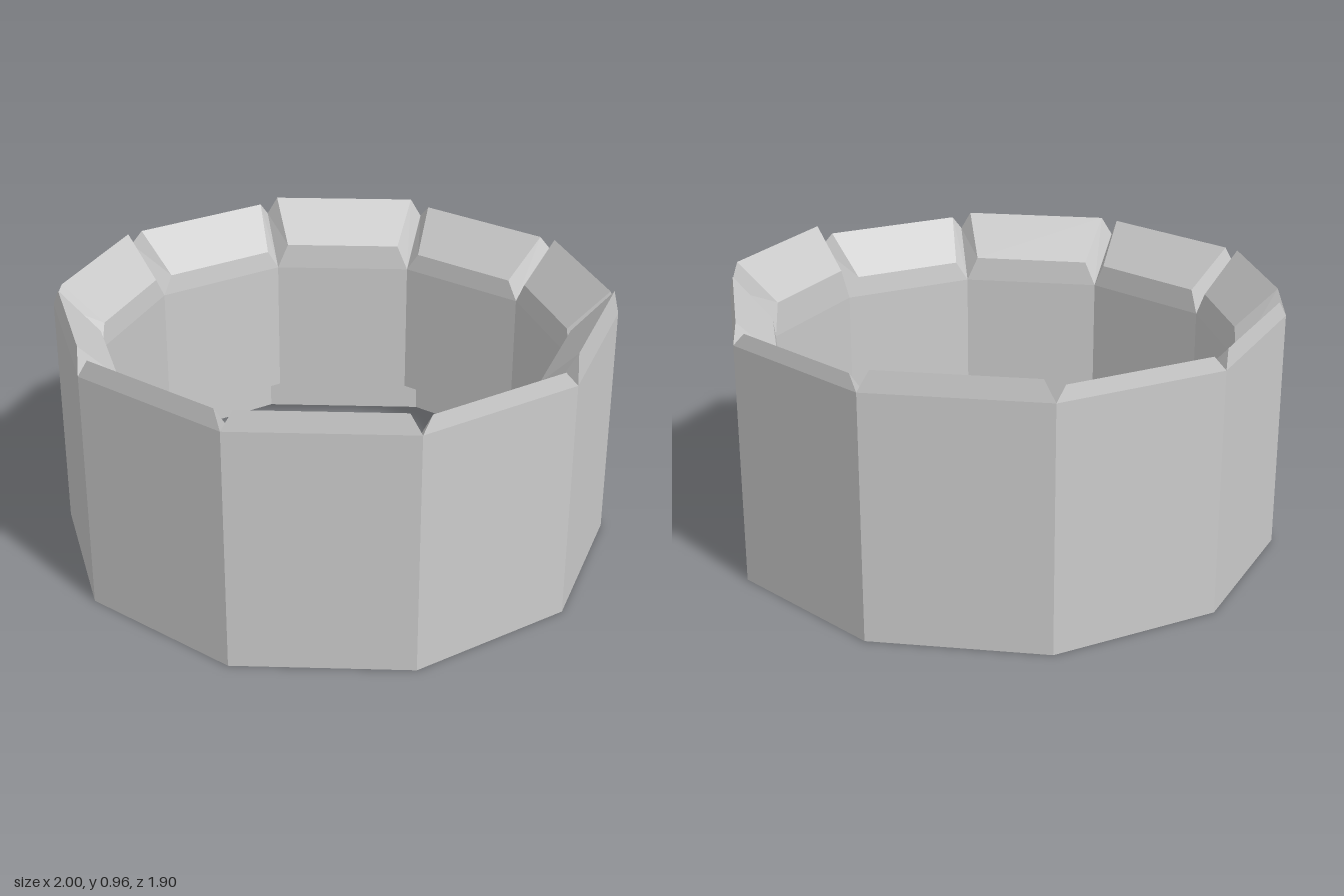
import * as THREE from 'three';

const SIDES = 10;
const HALF = Math.PI / SIDES;
const OUTER = Math.cos(HALF);            // outer wall distance
const INNER = 0.836 * Math.cos(HALF);    // inner wall distance
const SHOULDER = 0.866, INNER_SHOULDER = 0.695, INNER_BOTTOM = 0.176;

// Crest height and end inset of each block, going round from +x towards +z
const BLOCKS = [
  [0.93, 0.05], [0.963, 0.037], [0.92, 0.045], [0.935, 0.04], [0.93, 0.035],
  [0.943, 0.067], [0.925, 0.045], [0.916, 0.04], [0.938, 0.04], [0.915, 0.045],
];

// One wall block: a strip of rows [distance, height, half width] with bevelled ends
function blockGeometry(crest, inset) {
  const wOut = OUTER * Math.tan(HALF), wIn = INNER * Math.tan(HALF);
  const rows = [
    [OUTER, 0, wOut],
    [OUTER, SHOULDER, wOut],
    [OUTER - 0.012, crest, wOut - inset],
    [INNER + 0.01, crest - 0.15, wIn - inset],
    [INNER, INNER_SHOULDER, wIn],
    [INNER, INNER_BOTTOM, wIn],
  ];
  const positions = [];
  const point = (row, side) => [rows[row][0], rows[row][1], rows[row][2] * side];
  const quad = (a, b, c, d) => positions.push(...a, ...b, ...c, ...a, ...c, ...d);

  // Outer wall, outer chamfer, sloping top, inner chamfer, inner wall
  for (let i = 0; i < rows.length - 1; i++) {
    quad(point(i, 1), point(i, -1), point(i + 1, -1), point(i + 1, 1));
  }
  // Bevelled ends that form the notches between blocks
  quad(point(4, 1), point(1, 1), point(2, 1), point(3, 1));
  quad(point(1, -1), point(4, -1), point(3, -1), point(2, -1));

  const geometry = new THREE.BufferGeometry();
  geometry.setAttribute('position', new THREE.Float32BufferAttribute(positions, 3));
  geometry.computeVertexNormals();
  return geometry;
}

export function createModel() {
  const group = new THREE.Group();
  group.name = 'stoneRing';
  const material = new THREE.MeshStandardMaterial({
    color: 0xcccccc, flatShading: true, side: THREE.DoubleSide,
  });
  BLOCKS.forEach(([crest, inset], i) => {
    const block = new THREE.Mesh(blockGeometry(crest, inset), material);
    block.name = `wallBlock${i + 1}`;
    block.rotation.y = -(2 * i + 1) * HALF;
    group.add(block);
  });
  return group;
}
